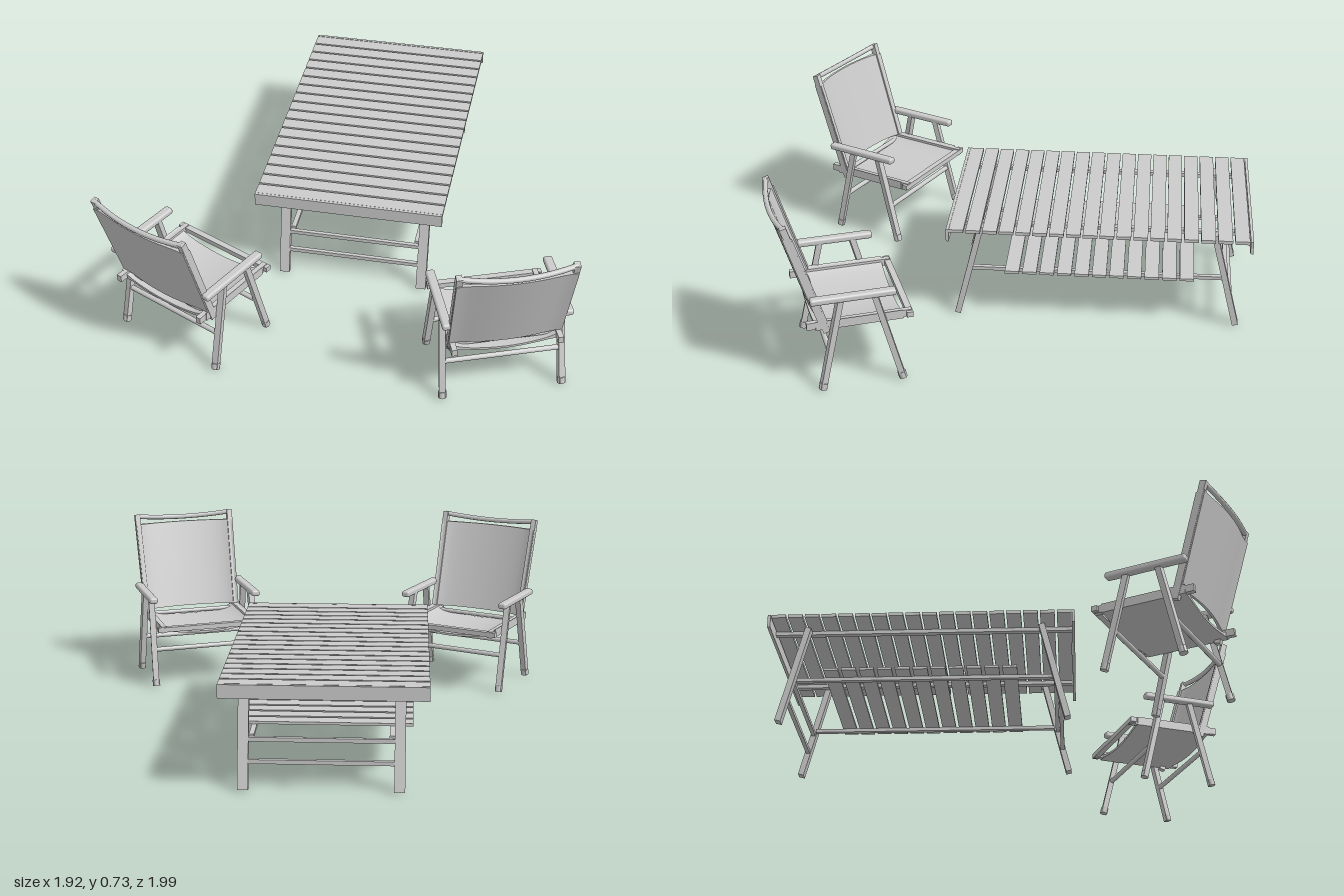
import * as THREE from 'three';
import { RoundedBoxGeometry } from 'three/addons/geometries/RoundedBoxGeometry.js';

const material = new THREE.MeshStandardMaterial({ color: 0xcccccc });
const V = (x, y, z) => new THREE.Vector3(x, y, z);
const UP = V(0, 1, 0);

function add(parent, name, geometry, x = 0, y = 0, z = 0) {
  const mesh = new THREE.Mesh(geometry, material);
  mesh.name = name;
  mesh.position.set(x, y, z);
  parent.add(mesh);
  return mesh;
}

function box(parent, name, w, h, d, x, y, z) {
  return add(parent, name, new THREE.BoxGeometry(w, h, d), x, y, z);
}

// Straight member from a to b: rectangular (w x d), or round when d is omitted
function bar(parent, name, a, b, w, d) {
  const dir = b.clone().sub(a);
  const len = dir.length();
  const geo = d ? new THREE.BoxGeometry(w, len, d) : new THREE.CylinderGeometry(w / 2, w / 2, len, 12);
  const mid = a.clone().add(b).multiplyScalar(0.5);
  const mesh = add(parent, name, geo, mid.x, mid.y, mid.z);
  mesh.quaternion.setFromUnitVectors(UP, dir.normalize());
  return mesh;
}

// Cloth panel: a box whose vertices are moved by a rule(u, v, side)
function cloth(parent, name, rule) {
  const geo = new THREE.BoxGeometry(2, 2, 2, 16, 10, 1);
  const p = geo.attributes.position;
  for (let i = 0; i < p.count; i++) {
    const q = rule(p.getX(i), p.getY(i), p.getZ(i));
    p.setXYZ(i, q.x, q.y, q.z);
  }
  geo.computeVertexNormals();
  return add(parent, name, geo);
}

function createTable() {
  const table = new THREE.Group();
  table.name = 'table';
  const cx = -0.04, legX = [-0.33, 0.273];

  // Slatted top with end aprons
  for (let i = 0; i < 18; i++)
    box(table, 'topSlat', 0.8, 0.014, 0.06, cx, 0.433, -0.955 + i * 0.0693);
  for (const z of [-0.994, 0.26])
    box(table, 'endApron', 0.8, 0.055, 0.012, cx, 0.4125, z);

  // Lower shelf
  for (let i = 0; i < 11; i++)
    box(table, 'shelfSlat', 0.68, 0.011, 0.06, cx, 0.216, -0.738 + i * 0.0735);

  // Legs and lengthwise rails
  legX.forEach((x, i) => {
    const inward = i ? -1 : 1;
    for (const [top, foot] of [[0.128, 0.23], [-0.845, -0.95]])
      bar(table, 'tableLeg', V(x, 0.423, top), V(x, 0.004, foot), 0.042, 0.025);
    box(table, 'topRail', 0.025, 0.016, 1.24, x + inward * 0.034, 0.418, -0.367);
    box(table, 'shelfRail', 0.02, 0.015, 1.06, x + inward * 0.031, 0.203, -0.36);
  });

  // Crossbars between each pair of legs
  for (const [z0, slope] of [[0.231, -0.243], [-0.951, 0.25]])
    for (const y of [0.112, 0.195])
      bar(table, 'legCrossbar', V(legX[0], y, z0 + slope * y), V(legX[1], y, z0 + slope * y), 0.017, 0.017);
  return table;
}

// Chair built facing +z, then turned into place
function createChair() {
  const chair = new THREE.Group();
  chair.name = 'chair';
  const postZ = y => -0.238 + (0.72 - y) * 0.3;

  for (const s of [-1, 1]) {
    // Crossed-lean legs meeting under the armrest, with feet
    for (const [name, top, foot] of [['frontLeg', 0.095, 0.196], ['rearLeg', -0.04, -0.13]]) {
      const a = V(s * 0.238, 0.4, top), b = V(s * 0.246, 0.005, foot);
      bar(chair, name, a, b, 0.027, 0.024);
      bar(chair, 'foot', b.clone().lerp(a, 0.07), b, 0.034);
    }
    add(chair, 'armrest', new RoundedBoxGeometry(0.038, 0.028, 0.34, 3, 0.01), s * 0.243, 0.405, 0.01);
    // Seat rail and leaning back post
    box(chair, 'seatRail', 0.022, 0.03, 0.42, s * 0.214, 0.283, 0.035);
    bar(chair, 'backPost', V(s * 0.218, 0.25, postZ(0.25)), V(s * 0.226, 0.73, postZ(0.73)), 0.024, 0.026);
  }

  // Crossbars
  bar(chair, 'frontSeatBar', V(-0.24, 0.283, 0.235), V(0.24, 0.283, 0.235), 0.022, 0.026);
  bar(chair, 'rearSeatBar', V(-0.22, 0.275, -0.11), V(0.22, 0.275, -0.11), 0.02);
  bar(chair, 'frontStretcher', V(-0.243, 0.168, 0.154), V(0.243, 0.168, 0.154), 0.022);
  bar(chair, 'rearStretcher', V(-0.243, 0.168, -0.093), V(0.243, 0.168, -0.093), 0.022);
  const curve = new THREE.QuadraticBezierCurve3(
    V(-0.228, 0.722, -0.24), V(0, 0.69, -0.285), V(0.228, 0.722, -0.24));
  add(chair, 'curvedTopRail', new THREE.TubeGeometry(curve, 16, 0.011, 8));

  // Sagging seat and bowed back, sleeved around their rails
  const thick = u => 0.005 + 0.014 * Math.pow(Math.abs(u), 8);
  cloth(chair, 'seatCloth', (u, v, t) =>
    V(u * 0.228, 0.283 - 0.033 * (1 - u * u) + t * thick(u), 0.035 - v * 0.175));
  cloth(chair, 'backCloth', (u, v, t) => {
    const y = 0.49 + v * 0.195;
    return V(u * (0.232 + 0.004 * v), y, postZ(y) - 0.03 * (1 - u * u) + t * thick(u));
  });
  return chair;
}

export function createModel() {
  const model = new THREE.Group();
  model.name = 'outdoorDiningSet';
  model.add(createTable());
  for (const [name, x, z, turn] of [['leftChair', 0.65, 0.658, 0.366], ['rightChair', -0.635, 0.656, -0.445]]) {
    const chair = createChair();
    chair.name = name;
    chair.position.set(x, 0, z);
    chair.rotation.y = Math.PI + turn;
    model.add(chair);
  }
  return model;
}
